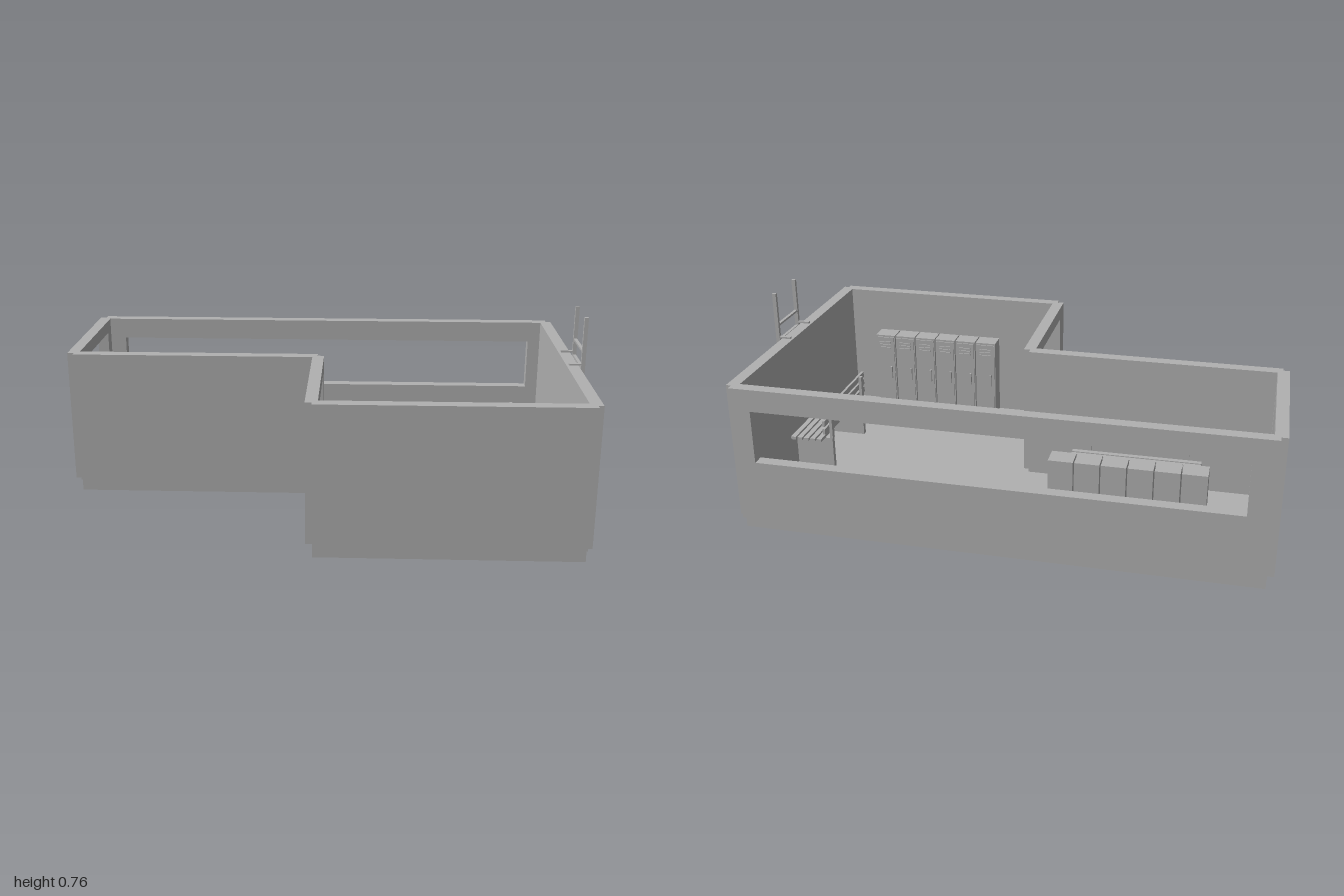
import * as THREE from 'three';

const grey = new THREE.MeshStandardMaterial({ color: 0xb0b0b0 });
grey.name = 'plain grey';

const WALL_BOTTOM = 0.052, WALL_TOP = 0.58, FLOOR = 0.06;

// Box given by its minimum and maximum along each axis
function box(parent, name, x0, x1, y0, y1, z0, z1) {
  const mesh = new THREE.Mesh(new THREE.BoxGeometry(x1 - x0, y1 - y0, z1 - z0), grey);
  mesh.position.set((x0 + x1) / 2, (y0 + y1) / 2, (z0 + z1) / 2);
  mesh.name = name;
  parent.add(mesh);
  return mesh;
}

// Wall with a rectangular opening, running along x
function openWall(name, a0, a1, thickness, [h0, h1, v0, v1]) {
  const shape = new THREE.Shape();
  shape.moveTo(a0, WALL_BOTTOM).lineTo(a1, WALL_BOTTOM).lineTo(a1, WALL_TOP).lineTo(a0, WALL_TOP).closePath();
  const hole = new THREE.Path();
  hole.moveTo(h0, v0).lineTo(h0, v1).lineTo(h1, v1).lineTo(h1, v0).closePath();
  shape.holes.push(hole);
  const mesh = new THREE.Mesh(
    new THREE.ExtrudeGeometry(shape, { depth: thickness, bevelEnabled: false }), grey);
  mesh.name = name;
  return mesh;
}

// Row of six lockers, doors facing +z, back at z = 0
function lockerRow(name) {
  const row = new THREE.Group();
  row.name = name;
  const pitch = 0.0925, top = 0.4;
  for (let i = 0; i < 6; i++) {
    const locker = new THREE.Group();
    locker.name = 'locker';
    locker.position.x = (i - 2.5) * pitch;
    box(locker, 'lockerBody', -0.044, 0.044, FLOOR, top, 0, 0.076);
    box(locker, 'lockerDoor', -0.04, 0.04, FLOOR + 0.015, top - 0.008, 0.076, 0.081);
    for (let j = 0; j < 3; j++) {
      const y = top - 0.03 - j * 0.013;
      box(locker, 'ventSlat', -0.025, 0.025, y - 0.003, y + 0.003, 0.081, 0.086);
    }
    box(locker, 'lockerHandle', 0.021, 0.029, 0.2, 0.255, 0.081, 0.091);
    row.add(locker);
  }
  return row;
}

// Slatted bench along x, backrest on the +z side
function bench(name, length) {
  const group = new THREE.Group();
  group.name = name;
  const half = length / 2;
  for (let i = 0; i < 5; i++) {
    const z = -0.08 + i * 0.027;
    box(group, 'seatSlat', -half, half, 0.2, 0.212, z, z + 0.02);
  }
  for (let i = 0; i < 3; i++) {
    const y = 0.235 + i * 0.034;
    box(group, 'backSlat', -half, half, y, y + 0.024, 0.058, 0.068);
  }
  for (const side of [-1, 1]) {
    const x = side * half * 0.76;
    box(group, 'legPanel', x - 0.01, x + 0.01, FLOOR, 0.2, -0.075, 0.078);
    box(group, 'backPost', x - 0.01, x + 0.01, 0.2, 0.325, 0.068, 0.08);
  }
  return group;
}

// Ladder on the outside of the left wall
function ladder() {
  const group = new THREE.Group();
  group.name = 'ladder';
  for (const side of [-1, 1]) {
    const z = side * 0.092;
    box(group, 'ladderRail', 0.985, 1, 0, 0.765, z - 0.0065, z + 0.0065);
    box(group, 'topBracket', 0.94, 0.99, 0.58, 0.587, z - 0.006, z + 0.006);
    box(group, 'lowerBracket', 0.97, 0.99, 0.062, 0.07, z - 0.006, z + 0.006);
  }
  for (let i = 0; i < 10; i++) {
    const y = 0.055 + i * 0.0642;
    box(group, 'ladderRung', 0.986, 0.998, y - 0.004, y + 0.004, -0.087, 0.087);
  }
  return group;
}

export function createModel() {
  const model = new THREE.Group();
  model.name = 'lockerRoom';

  // L-shaped floor slab, set back under the walls
  const plan = new THREE.Shape([
    [-0.975, 0.58], [-0.975, 0], [-0.01, 0], [-0.01, -0.58], [0.955, -0.58], [0.955, 0.58],
  ].map(([x, y]) => new THREE.Vector2(x, y)));
  const slabGeometry = new THREE.ExtrudeGeometry(plan, { depth: FLOOR, bevelEnabled: false });
  slabGeometry.rotateX(-Math.PI / 2);
  const slab = new THREE.Mesh(slabGeometry, grey);
  slab.name = 'floorSlab';
  model.add(slab);

  // Solid walls
  box(model, 'leftWall', 0.93, 0.975, WALL_BOTTOM, WALL_TOP, -0.58, 0.58);
  box(model, 'frontWall', -0.01, 0.955, WALL_BOTTOM, WALL_TOP, 0.555, 0.6);
  box(model, 'wingFrontWall', -0.975, -0.015, WALL_BOTTOM, WALL_TOP, -0.025, 0.02);

  // Long window strip in the back wall
  const back = openWall('backWall', -0.975, 0.955, 0.045, [-0.89, 0.88, 0.29, 0.495]);
  back.position.z = -0.605;
  model.add(back);

  // Large openings in the two walls facing -x
  for (const [name, x, z] of [['wingEndWall', -1, 0], ['innerSideWall', -0.035, 0.58]]) {
    const wall = openWall(name, 0, 0.58, 0.045, [0.075, 0.505, 0.1, 0.53]);
    wall.rotation.y = Math.PI / 2;
    wall.position.set(x, 0, z);
    model.add(wall);
  }

  // Furniture
  const backLockers = lockerRow('backLockers');
  backLockers.position.set(-0.477, 0, -0.56);
  const frontLockers = lockerRow('frontLockers');
  frontLockers.position.set(0.525, 0, 0.555);
  frontLockers.rotation.y = Math.PI;
  const wingBench = bench('wingBench', 0.5);
  wingBench.position.set(-0.455, 0, -0.13);
  const sideBench = bench('sideBench', 0.445);
  sideBench.position.set(0.836, 0, 0);
  sideBench.rotation.y = -Math.PI / 2;
  model.add(backLockers, frontLockers, wingBench, sideBench, ladder());

  return model;
}
